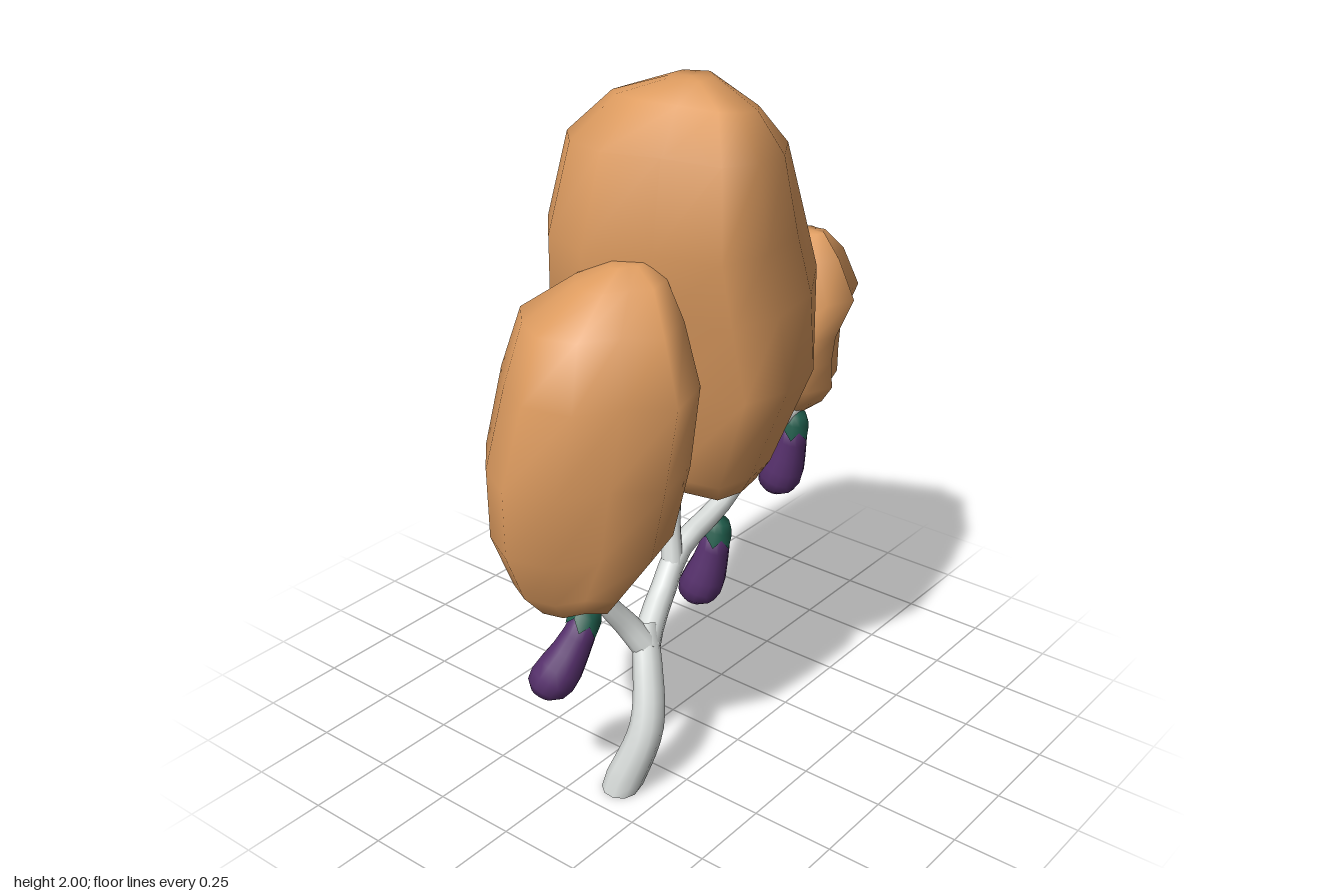
import * as THREE from 'three';
import { toCreasedNormals } from 'three/addons/utils/BufferGeometryUtils.js';

const mat = (name, color) => Object.assign(new THREE.MeshStandardMaterial({ color }), { name });

// Closed skin over a stack of rings (equal point counts), with a fan at each end
function loft(rings) {
  const n = rings[0].length, last = rings.length - 1;
  const pos = rings.flat().flatMap((p) => [p.x, p.y, p.z]);
  const idx = [];
  for (let i = 0; i < last; i++) {
    for (let j = 0; j < n; j++) {
      const a = i * n + j, b = i * n + (j + 1) % n;
      idx.push(a, b, b + n, a, b + n, a + n);
    }
  }
  [0, last].forEach((r, end) => {
    const c = rings[r].reduce((s, p) => s.add(p), new THREE.Vector3()).divideScalar(n);
    const k = pos.length / 3;
    pos.push(c.x, c.y, c.z);
    for (let j = 0; j < n; j++) {
      const a = r * n + j, b = r * n + (j + 1) % n;
      if (end) idx.push(a, b, k); else idx.push(b, a, k);
    }
  });
  const g = new THREE.BufferGeometry();
  g.setAttribute('position', new THREE.Float32BufferAttribute(pos, 3));
  g.setIndex(idx);
  g.computeVertexNormals();
  return g;
}

// Foliage lump: one plan outline [x, z] fitted to [y, x0, x1, z0, z1, tilt along z] per level
function lump(outline, levels) {
  const { min, max } = new THREE.Box2().setFromPoints(outline.map(([x, z]) => new THREE.Vector2(x, z)));
  return loft(levels.map(([y, x0, x1, z0, z1, tilt = 0]) => outline.map(([x, z]) => {
    const pz = THREE.MathUtils.mapLinear(z, min.y, max.y, z0, z1);
    return new THREE.Vector3(
      THREE.MathUtils.mapLinear(x, min.x, max.x, x0, x1), y + tilt * (pz - (z0 + z1) / 2), pz);
  })));
}

// Tapered limb along a smooth path
function limb(points, r0, r1, grounded = false) {
  const curve = new THREE.CatmullRomCurve3(points.map((p) => new THREE.Vector3(...p)));
  const steps = 14, sides = 10;
  const { normals, binormals } = curve.computeFrenetFrames(steps);
  const rings = [];
  for (let i = 0; i <= steps; i++) {
    const c = curve.getPointAt(i / steps), r = THREE.MathUtils.lerp(r0, r1, i / steps);
    rings.push(Array.from({ length: sides }, (_, j) => {
      const a = j / sides * Math.PI * 2;
      const p = c.clone().addScaledVector(normals[i], r * Math.cos(a))
        .addScaledVector(binormals[i], r * Math.sin(a));
      if (grounded && i === 0) p.y = 0;
      return p;
    }));
  }
  return toCreasedNormals(loft(rings), 0.9);
}

export function createModel() {
  const model = new THREE.Group();
  const leafMat = mat('orange foliage', 0xde9c60);
  const barkMat = mat('pale bark', 0xd6dad8);
  const fruitMat = mat('purple fruit', 0x56306c);
  const capMat = mat('green cap', 0x1f5c4b);
  capMat.side = THREE.DoubleSide;
  const add = (parent, name, geo, material) => {
    const m = new THREE.Mesh(geo, material);
    m.name = name;
    parent.add(m);
  };

  // Foliage
  add(model, 'mainFoliage', lump(
    [[-0.03, 0.35], [0.15, 0.25], [0.36, 0.2], [0.4, 0.04], [0.37, -0.15], [0.25, -0.35],
      [0.06, -0.5], [-0.16, -0.4], [-0.38, -0.28], [-0.4, -0.02], [-0.33, 0.16], [-0.2, 0.3]],
    [[0.77, -0.12, 0.12, -0.16, 0], [0.82, -0.23, 0.22, -0.3, 0.12], [0.9, -0.31, 0.28, -0.35, 0.21],
      [1.2, -0.4, 0.4, -0.46, 0.28], [1.42, -0.385, 0.385, -0.495, 0.34], [1.6, -0.35, 0.37, -0.42, 0.36],
      [1.83, -0.27, 0.35, -0.31, 0.32, 0.1], [1.94, -0.15, 0.27, -0.19, 0.2, 0.18], [2, 0, 0.12, -0.07, 0.06]]), leafMat);
  add(model, 'frontFoliage', lump(
    [[0, 0.69], [0.15, 0.65], [0.23, 0.52], [0.35, 0.43], [0.3, 0.26], [0.1, 0.15],
      [-0.15, 0.2], [-0.26, 0.37], [-0.24, 0.51], [-0.13, 0.62]],
    [[0.635, -0.09, 0.15, 0.36, 0.58], [0.68, -0.18, 0.18, 0.31, 0.61], [0.83, -0.26, 0.28, 0.2, 0.67],
      [1.04, -0.26, 0.32, 0.16, 0.69], [1.28, -0.21, 0.35, 0.17, 0.65], [1.45, -0.16, 0.29, 0.19, 0.59],
      [1.54, -0.04, 0.2, 0.2, 0.45], [1.58, 0.05, 0.13, 0.25, 0.36]]), leafMat);
  add(model, 'backFoliage', lump(
    [[0.13, -0.36], [0.2, -0.42], [0.24, -0.53], [0.19, -0.59], [0.17, -0.69], [0.08, -0.67],
      [-0.01, -0.7], [-0.07, -0.6], [-0.08, -0.48], [0, -0.38]],
    [[0.865, 0, 0.1, -0.56, -0.46], [0.92, -0.05, 0.17, -0.61, -0.41], [0.97, -0.08, 0.2, -0.645, -0.39],
      [1.06, -0.08, 0.21, -0.635, -0.35], [1.14, -0.07, 0.21, -0.64, -0.38], [1.25, -0.07, 0.24, -0.69, -0.42],
      [1.37, -0.03, 0.19, -0.645, -0.44], [1.43, 0.03, 0.12, -0.6, -0.53]]), leafMat);

  // Trunk and branches
  add(model, 'trunk', limb([[0.12, 0, 0.395], [0.17, 0.2, 0.335], [0.13, 0.36, 0.28], [0.08, 0.46, 0.235]],
    0.058, 0.038, true), barkMat);
  add(model, 'frontBranch', limb([[0.11, 0.4, 0.255], [0.07, 0.48, 0.295], [0.045, 0.57, 0.355], [0.03, 0.67, 0.4]],
    0.042, 0.024), barkMat);
  add(model, 'backBranch', limb([[0.11, 0.4, 0.265], [0.08, 0.45, 0.2], [0.06, 0.5, 0.13], [0.045, 0.6, 0.03],
    [0.05, 0.675, -0.17], [0.06, 0.785, -0.33], [0.08, 0.86, -0.42], [0.09, 0.89, -0.49]], 0.042, 0.023), barkMat);
  add(model, 'middleTwig', limb([[0.05, 0.57, 0.065], [0.03, 0.68, 0.045], [0.02, 0.79, 0.02]],
    0.034, 0.022), barkMat);
  add(model, 'backTwig', limb([[0.075, 0.83, -0.395], [0.06, 0.91, -0.37], [0.05, 1.01, -0.34]],
    0.034, 0.022), barkMat);

  // Hanging fruit: profile as [radius, distance below the stem], bowed a little sideways
  const fruitGeo = new THREE.LatheGeometry([[0, 0.31], [0.035, 0.303], [0.058, 0.28], [0.067, 0.245],
    [0.064, 0.205], [0.055, 0.155], [0.047, 0.1], [0.041, 0.045], [0, 0.02]]
    .map(([r, d]) => new THREE.Vector2(r, -d)), 14);
  const fp = fruitGeo.attributes.position;
  for (let i = 0; i < fp.count; i++) {
    fp.setX(i, fp.getX(i) + 0.014 * Math.sin(-fp.getY(i) / 0.31 * Math.PI));
  }
  // Cap with a zigzag rim
  const capGeo = new THREE.LatheGeometry([[0.05, 0.05], [0.046, 0.032], [0.033, 0.008], [0, 0]]
    .map(([r, d]) => new THREE.Vector2(r, -d)), 12);
  const cp = capGeo.attributes.position;
  for (let i = 4; i < cp.count; i += 8) {
    cp.setXYZ(i, cp.getX(i) * 1.06 + 0.008, cp.getY(i) - 0.028, cp.getZ(i) * 1.06);
  }
  capGeo.computeVertexNormals();

  const down = new THREE.Vector3(0, -1, 0);
  [['frontFruit', [0.05, 0.605, 0.42], [-0.035, 0.33, 0.56]],
    ['middleFruit', [0.06, 0.635, -0.15], [-0.02, 0.325, -0.12]],
    ['backFruit', [0.1, 0.88, -0.48], [0.015, 0.57, -0.485]]].forEach(([name, top, tip]) => {
    const g = new THREE.Group();
    g.name = name;
    g.position.set(...top);
    g.quaternion.setFromUnitVectors(down, new THREE.Vector3(...tip).sub(g.position).normalize());
    add(g, 'fruitBody', fruitGeo, fruitMat);
    add(g, 'fruitCap', capGeo, capMat);
    model.add(g);
  });
  return model;
}
